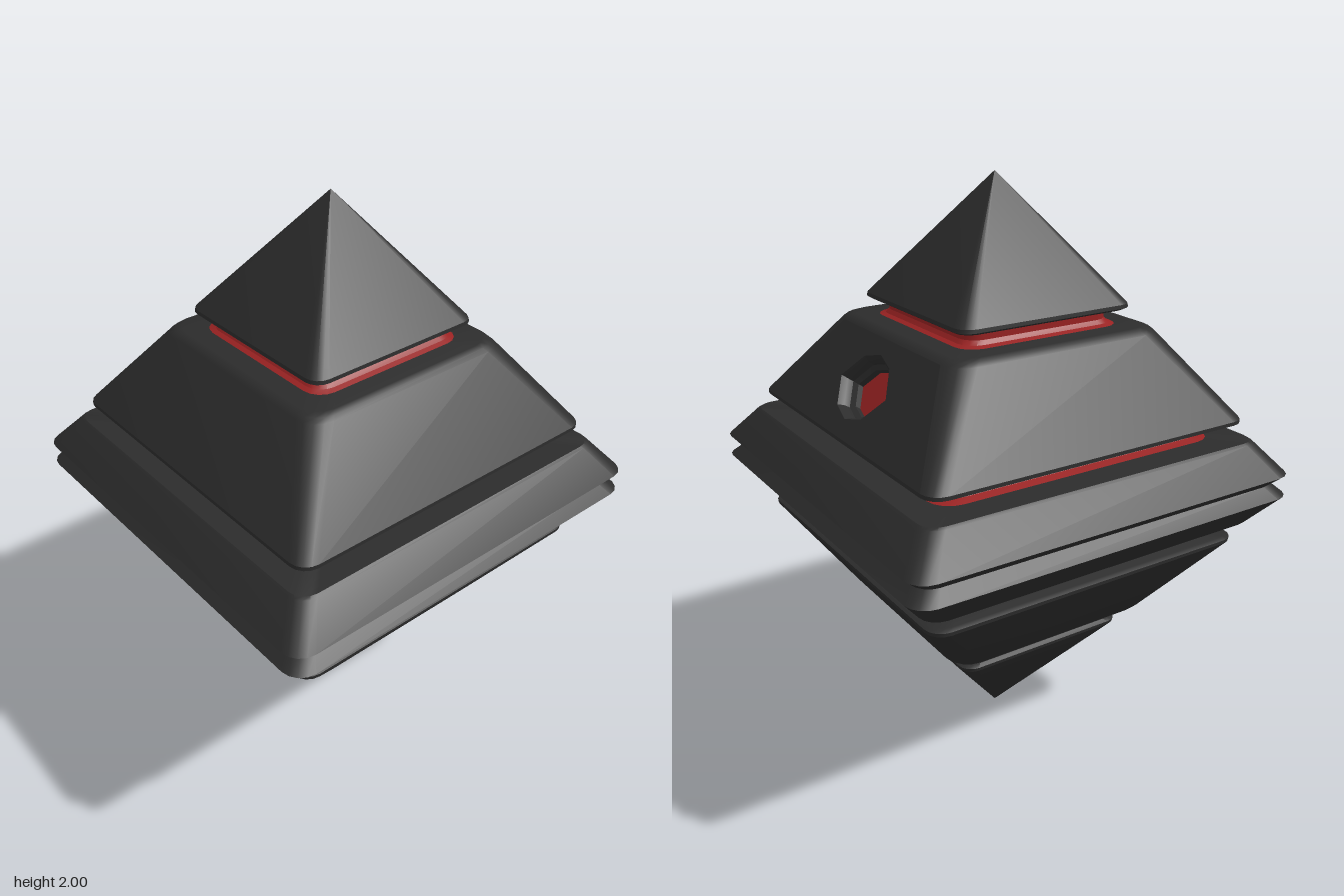
import * as THREE from 'three';
import { toCreasedNormals } from 'three/addons/utils/BufferGeometryUtils.js';

const dark = new THREE.MeshStandardMaterial({ color: 0x2c2c2c });
const red = new THREE.MeshStandardMaterial({ color: 0x992222 });

// Rounded-square cross-section: half width w, corner radius r, height y
function ring([w, y, r], segments = 4) {
  const points = [];
  for (let q = 0; q < 4; q++) {
    const mid = (q + 0.5) * Math.PI / 2;
    const cx = Math.sign(Math.cos(mid)) * (w - r), cz = Math.sign(Math.sin(mid)) * (w - r);
    for (let i = 0; i <= segments; i++) {
      const a = (q + i / segments) * Math.PI / 2;
      points.push(new THREE.Vector3(cx + r * Math.cos(a), y, cz + r * Math.sin(a)));
    }
  }
  return points;
}

// Skin a stack of closed sections; skip(j, i) leaves a quad open
function loft(rings, skip = () => false) {
  const pos = [], n = rings[0].length;
  const tri = (a, b, c) => {
    const area = b.clone().sub(a).cross(c.clone().sub(a)).length();
    if (area > 1e-9) for (const p of [a, b, c]) pos.push(p.x, p.y, p.z);
  };
  for (let j = 0; j < rings.length - 1; j++) {
    for (let i = 0; i < n; i++) {
      if (skip(j, i)) continue;
      const k = (i + 1) % n, lo = rings[j], hi = rings[j + 1];
      tri(lo[i], hi[i], lo[k]);
      tri(lo[k], hi[i], hi[k]);
    }
  }
  const g = new THREE.BufferGeometry();
  g.setAttribute('position', new THREE.Float32BufferAttribute(pos, 3));
  return toCreasedNormals(g, 0.5);
}

function add(parent, name, geometry, material) {
  const mesh = new THREE.Mesh(geometry, material);
  mesh.name = name;
  parent.add(mesh);
  return mesh;
}

// Profiles from bottom to top: [half width, height, corner radius]
const cap = [[0.2, 1.572, 0.03], [0.315, 1.572, 0.05], [0.328, 1.58, 0.05], [0.326, 1.592, 0.05], [0, 2, 0]];
const tier = [
  [0.4, 1.203, 0.05], [0.59, 1.203, 0.06], [0.604, 1.21, 0.06], [0.603, 1.222, 0.06],
  [0.4, 1.502, 0.08], [0.388, 1.514, 0.08], [0.37, 1.521, 0.08], [0.2, 1.521, 0.04],
];
const slope = 3; // index of the tier's sloping band
const belt = [[0.685, 1, 0.06], [0.725, 1.038, 0.07], [0.638, 1.143, 0.06], [0.63, 1.149, 0.06], [0.4, 1.149, 0.05]];
const upperCore = [[0.31, 1.518, 0.07], [0.285, 1.527, 0.06], [0.275, 1.54, 0.06], [0.275, 1.56, 0.06], [0.29, 1.575, 0.06]];
const lowerCore = [[0.54, 1.147, 0.08], [0.505, 1.157, 0.07], [0.495, 1.17, 0.07], [0.495, 1.19, 0.07], [0.51, 1.206, 0.07]];

const stack = (profile) => profile.map((p) => ring(p));
const mirrored = (profile) => profile.map(([w, y, r]) => [w, 2 - y, r]).reverse();

// Eye-shaped outline, counter-clockwise
const eye = [[0.155, 0], [0.085, 0.09], [0, 0.117], [-0.085, 0.09], [-0.155, 0], [-0.085, -0.09], [0, -0.117], [0.085, -0.09]];

// Sloping +x face with a stepped recess and a red lens at its floor
function eyePanel() {
  const panel = new THREE.Group();
  panel.name = 'eyePanel';
  const [w0, y0, r0] = tier[slope], [w1, y1, r1] = tier[slope + 1];
  const length = Math.hypot(w0 - w1, y1 - y0);
  const up = new THREE.Vector3(w1 - w0, y1 - y0, 0).normalize();
  const across = new THREE.Vector3(0, 0, -1);
  const out = across.clone().cross(up);
  const centre = (1.365 - y0) / (y1 - y0) * length;

  const v = (x, y) => new THREE.Vector2(x, y);
  const face = new THREE.Shape([
    v(r0 - w0, 0), v(w0 - r0, 0), v(w1 - r1, length), v(r1 - w1, length),
  ]);
  face.holes.push(new THREE.Path(eye.map(([x, y]) => v(x, y + centre)).reverse()));
  add(panel, 'slopedFace', new THREE.ShapeGeometry(face), dark);

  // Recess walls from floor to rim: [scale, depth]
  const steps = [[0.74, -0.072], [0.74, -0.05], [0.88, -0.04], [0.9, -0.018], [1, 0]];
  const walls = steps.map(([s, z]) => eye.map(([x, y]) => new THREE.Vector3(x * s, y * s + centre, z)));
  add(panel, 'eyeRecess', loft(walls), dark);

  const lens = new THREE.Shape(eye.map(([x, y]) => v(x * 0.75, y * 0.75 + centre)));
  add(panel, 'eyeLens', new THREE.ShapeGeometry(lens), red).position.z = -0.07;

  panel.applyMatrix4(new THREE.Matrix4().makeBasis(across, up, out).setPosition(w0, y0, 0));
  return panel;
}

export function createModel() {
  const model = new THREE.Group();
  model.name = 'layeredDoublePyramid';

  // Matching upper and lower halves
  const parts = { Cap: [cap, dark], Tier: [tier, dark], Belt: [belt, dark], NarrowCore: [upperCore, red], WideCore: [lowerCore, red] };
  for (const [name, [profile, material]] of Object.entries(parts)) {
    // The upper tier leaves its +x slope open for the eye panel
    const open = name === 'Tier' ? (j, i) => j === slope && i === 19 : undefined;
    add(model, 'upper' + name, loft(stack(profile), open), material);
    add(model, 'lower' + name, loft(stack(mirrored(profile))), material);
  }

  model.add(eyePanel());
  return model;
}
